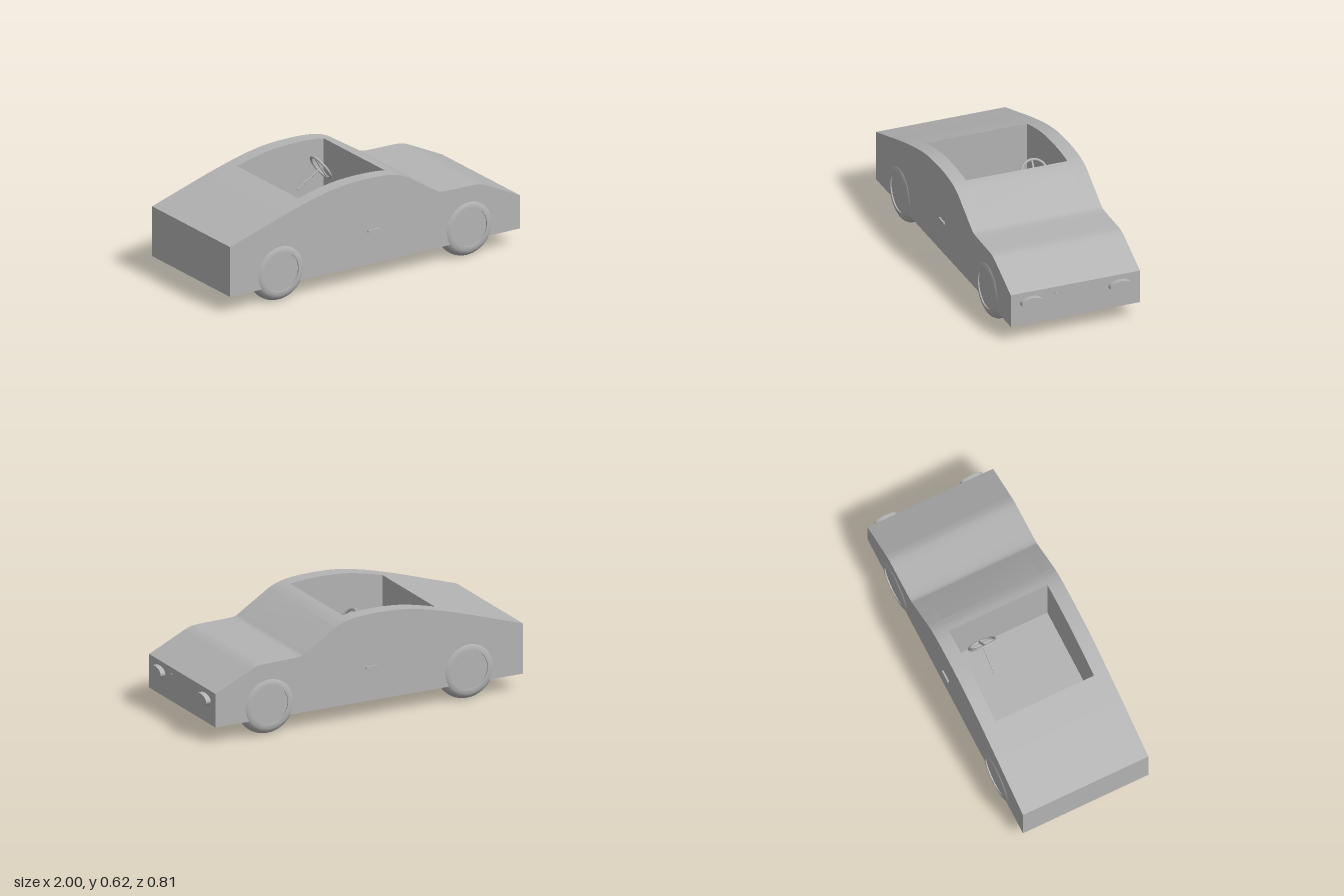
import * as THREE from 'three';
import { toCreasedNormals } from 'three/addons/utils/BufferGeometryUtils.js';

const grey = new THREE.MeshStandardMaterial({ color: 0xb4b4b4 });
grey.name = 'body grey';

const SIDE = 0.395, BASE = 0.1;
const CABIN = { x0: -0.48, x1: 0.11, z: 0.31, floor: 0.15 };
const WELLS = [-0.665, 0.625];
const WHEELS = [-0.655, 0.625];
const AXLE_Y = 0.18;

function addMesh(parent, name, geometry, x = 0, y = 0, z = 0) {
  const mesh = new THREE.Mesh(geometry, grey);
  mesh.name = name;
  mesh.position.set(x, y, z);
  parent.add(mesh);
  return mesh;
}

// Smooth upper outline, tail to nose
function topOutline() {
  const spline = (pts, n) => new THREE.SplineCurve(pts.map(p => new THREE.Vector2(...p))).getPoints(n);
  const roof = spline([[-1, 0.4], [-0.81, 0.46], [-0.62, 0.52], [-0.42, 0.575], [-0.25, 0.608],
    [-0.09, 0.617], [0.05, 0.612], [0.14, 0.596], [0.2, 0.572]], 48);
  const hood = spline([[0.4, 0.447], [0.435, 0.434], [0.55, 0.43], [0.67, 0.427], [0.72, 0.417], [0.77, 0.395]], 30);
  return [...roof, ...hood, new THREE.Vector2(0.97, 0.3)];
}

function heightAt(outline, x) {
  const i = outline.findIndex(p => p.x >= x);
  const a = outline[i - 1], b = outline[i];
  return a.y + (b.y - a.y) * (x - a.x) / (b.x - a.x);
}

// Side profile, with optional wheel wells and cabin opening
function bodyShape(wells, cabin) {
  let top = topOutline();
  if (cabin) {
    const { x0, x1, floor } = CABIN;
    const v = (x, y) => new THREE.Vector2(x, y);
    top = [...top.filter(p => p.x < x0), v(x0, heightAt(top, x0)), v(x0, floor),
      v(x1, floor), v(x1, heightAt(top, x1)), ...top.filter(p => p.x > x1)];
  }
  const shape = new THREE.Shape();
  shape.moveTo(-1, BASE);
  top.forEach(p => shape.lineTo(p.x, p.y));
  shape.lineTo(0.97, BASE);
  if (wells) {
    const r = 0.184, a = Math.asin((AXLE_Y - BASE) / r);
    for (const x of [...WELLS].reverse()) shape.absarc(x, AXLE_Y, r, -a, Math.PI + a, false);
  }
  shape.lineTo(-1, BASE);
  return shape;
}

function slab(shape, z0, z1) {
  const g = new THREE.ExtrudeGeometry(shape, { depth: z1 - z0, bevelEnabled: false, curveSegments: 32 });
  g.translate(0, 0, z0);
  return toCreasedNormals(g, 0.35);
}

// Round-shouldered tyre with a shallow recess on both faces
function wheelGeometry() {
  const half = 0.058, core = 0.122, pts = [[0, -0.05], [0.115, -0.05], [0.115, -half]];
  for (let i = 0; i <= 20; i++) {
    const a = -Math.PI / 2 + Math.PI * i / 20;
    pts.push([core + half * Math.cos(a), half * Math.sin(a)]);
  }
  pts.push([0.115, half], [0.115, 0.051], [0, 0.051]);
  const g = new THREE.LatheGeometry(pts.map(p => new THREE.Vector2(...p)), 56);
  g.rotateX(Math.PI / 2);
  return toCreasedNormals(g, 0.6);
}

// Ring, spoke and column; the column follows the given direction
function steering(name, center, direction, radius, length) {
  const group = new THREE.Group();
  group.name = name;
  addMesh(group, 'steeringRing', new THREE.TorusGeometry(radius, 0.008, 12, 40));
  addMesh(group, 'steeringSpoke', new THREE.BoxGeometry(0.01, radius * 2, 0.008));
  const column = new THREE.CylinderGeometry(0.005, 0.005, length, 12).rotateX(Math.PI / 2);
  addMesh(group, 'steeringColumn', column, 0, 0, length / 2);
  group.position.set(...center);
  group.lookAt(new THREE.Vector3(...center).add(new THREE.Vector3(...direction)));
  return group;
}

export function createModel() {
  const car = new THREE.Group();
  car.name = 'car';

  // Body: open middle, solid flanks and thin outer skins
  const skin = 0.385;
  addMesh(car, 'bodyMiddle', slab(bodyShape(true, true), -CABIN.z, CABIN.z));
  for (const s of [1, -1]) {
    const span = (a, b) => s > 0 ? [a, b] : [-b, -a];
    addMesh(car, 'bodyFlank', slab(bodyShape(true, false), ...span(CABIN.z, skin)));
    addMesh(car, 'bodySkin', slab(bodyShape(false, false), ...span(skin, SIDE)));
  }

  const wheel = wheelGeometry();
  const lamp = new THREE.CylinderGeometry(1, 1, 0.04, 40).rotateZ(Math.PI / 2).scale(1, 0.034, 0.068);
  for (const s of [1, -1]) {
    // Wheels
    for (const x of WHEELS) {
      const w = addMesh(car, 'wheel', wheel, x, AXLE_Y, s * 0.345);
      if (s < 0) w.rotation.y = Math.PI;
    }
    // Headlights and door handles
    addMesh(car, 'headlight', lamp, 0.98, 0.237, s * 0.27);
    addMesh(car, 'doorHandle', new THREE.BoxGeometry(0.075, 0.012, 0.02), -0.028, 0.3, s * 0.395);
  }

  // Steering wheel in the cabin and steering linkage by the front wheel
  car.add(steering('steeringWheel', [-0.01, 0.5, -0.16], [-0.85, -0.53, 0], 0.078, 0.19));
  car.add(steering('steeringLinkage', [0.656, 0.16, 0.25], [0.32, 0.105, -0.13], 0.06, 0.362));
  return car;
}
